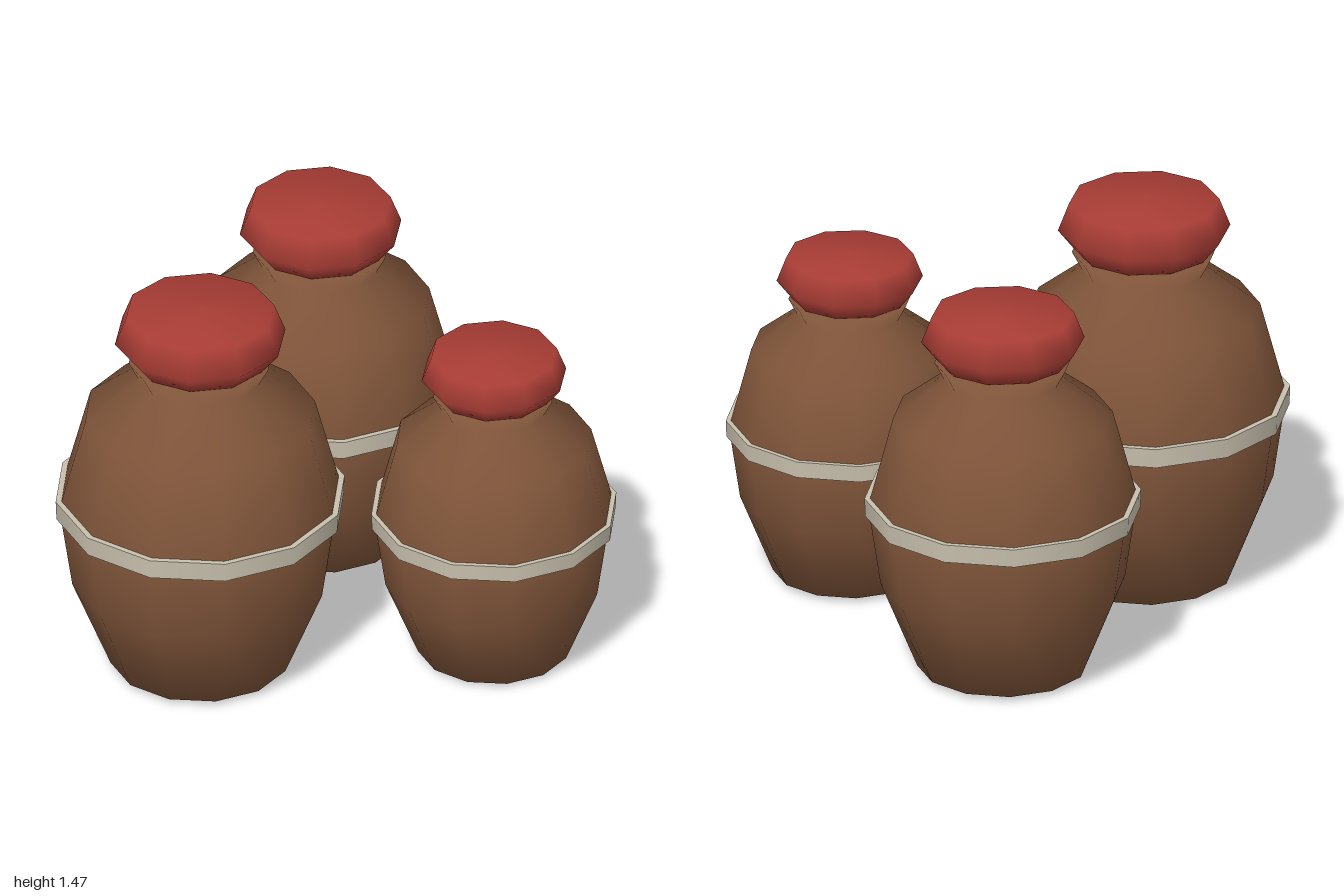
import * as THREE from 'three';

const clay = new THREE.MeshStandardMaterial({ color: 0x80553a });
clay.name = 'brown clay';
const lidRed = new THREE.MeshStandardMaterial({ color: 0xa63c34 });
lidRed.name = 'lid red';
const cream = new THREE.MeshStandardMaterial({ color: 0xc8c0ae });
cream.name = 'cream band';

const profile = (pairs) => pairs.map(([r, y]) => new THREE.Vector2(r, y));

// Profiles of the largest jar as [radius, height], bottom to top
const bodyProfile = profile([
  [0, 0], [0.322, 0.021], [0.46, 0.362], [0.507, 0.68],
  [0.413, 1.034], [0.22, 1.187], [0.257, 1.258], [0, 1.262],
]);
const lidProfile = profile([
  [0, 1.255], [0.243, 1.262], [0.307, 1.343], [0.267, 1.447], [0, 1.469],
]);

function part(name, geometry, material) {
  const mesh = new THREE.Mesh(geometry, material);
  mesh.name = name;
  return mesh;
}

function createJar(name, x, z, scale) {
  const jar = new THREE.Group();
  jar.name = name;

  // Twelve-sided belly, shoulder and flared neck
  jar.add(part('body', new THREE.LatheGeometry(bodyProfile, 12), clay));

  // Painted band round the widest point
  const band = part('band', new THREE.CylinderGeometry(0.52, 0.517, 0.072, 12), cream);
  band.position.y = 0.675;
  jar.add(band);

  // Ten-sided lid with a corner on the x axis
  jar.add(part('lid', new THREE.LatheGeometry(lidProfile, 10, Math.PI / 2), lidRed));

  jar.position.set(x, 0, z);
  jar.scale.setScalar(scale);
  return jar;
}

export function createModel() {
  const model = new THREE.Group();
  model.name = 'jars';
  model.add(
    createJar('largeJar', -0.48, 0.358, 1),
    createJar('mediumJar', 0.088, -0.415, 0.947),
    createJar('smallJar', 0.559, 0.462, 0.848),
  );
  return model;
}
